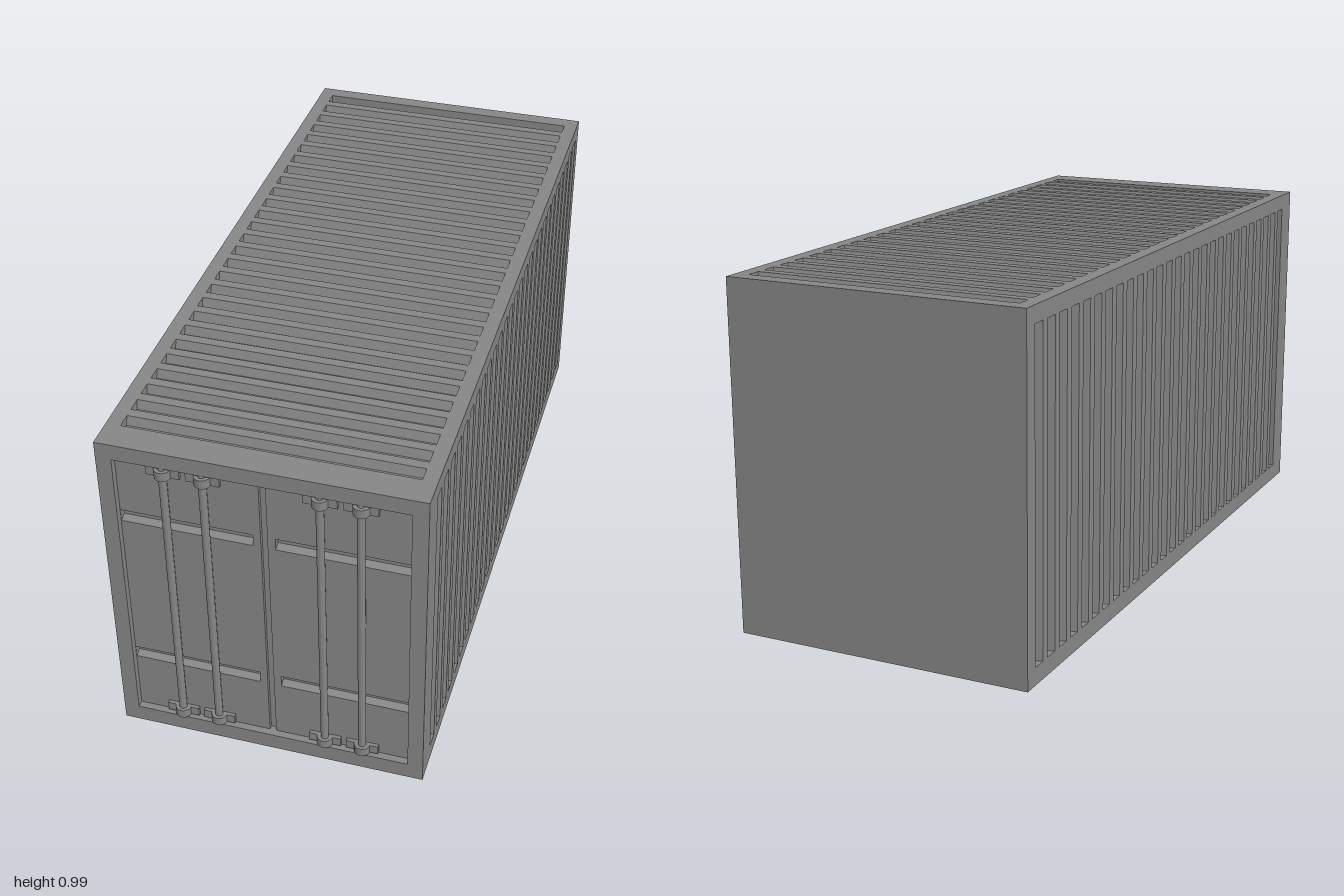
import * as THREE from 'three';
import { mergeGeometries } from 'three/addons/utils/BufferGeometryUtils.js';

const material = new THREE.MeshStandardMaterial({ color: 0x868686, side: THREE.DoubleSide, flatShading: true });
const HX = 0.433, H = 0.99, BACK = -1, FRONT = 0.99;
const DOOR_Z = 0.97, DOOR_X = 0.39, DOOR_Y0 = 0.05, DOOR_Y1 = 0.943;

const rectPoints = ([x0, y0, x1, y1]) => [[x0, y0], [x1, y0], [x1, y1], [x0, y1]].map(p => new THREE.Vector2(...p));

// Flat-shaded geometry from a list of four-cornered faces
function fromQuads(quads) {
  const out = quads.flatMap(([a, b, c, d]) => [a, b, c, a, c, d].flat());
  const g = new THREE.BufferGeometry();
  g.setAttribute('position', new THREE.Float32BufferAttribute(out, 3));
  g.computeVertexNormals();
  return g;
}

// Pressed pan: walls (optionally sloped by sy) leading to a floor at -depth
function pan([x0, y0, x1, y1], depth, sy = 0, floor = true) {
  const outer = rectPoints([x0, y0, x1, y1]).map(p => [p.x, p.y, 0]);
  const inner = rectPoints([x0, y0 + sy, x1, y1 - sy]).map(p => [p.x, p.y, -depth]);
  const quads = outer.map((p, i) => [p, outer[(i + 1) % 4], inner[(i + 1) % 4], inner[i]]);
  if (floor) quads.push(inner);
  return fromQuads(quads);
}

// Flat sheet in the XY plane with holes cut out
function sheet(rect, holes = []) {
  const shape = new THREE.Shape(rectPoints(rect));
  holes.forEach(h => shape.holes.push(new THREE.Path(rectPoints(h))));
  const g = new THREE.ShapeGeometry(shape).toNonIndexed();
  g.deleteAttribute('uv');
  return g;
}

// Corrugated panel: ridges along y, flush with z = 0, with grooves between them
function corrugation([x0, y0, x1, y1]) {
  const pitch = 0.07, groove = 0.043, slope = 0.009, depth = 0.025, count = 27;
  const profile = [[x0, 0]];
  for (let i = 0; i < count; i++) {
    const a = x0 + i * pitch, b = a + groove;
    if (i > 0) profile.push([a, 0]);
    profile.push([i > 0 ? a + slope : a, -depth]);
    profile.push([i < count - 1 ? b - slope : x1, -depth]);
    if (i < count - 1) profile.push([b, 0]);
  }
  profile.push([x1, 0]);
  const quads = [];
  for (let i = 0; i < profile.length - 1; i++) {
    const [xa, za] = profile[i], [xb, zb] = profile[i + 1];
    quads.push([[xa, y0, za], [xb, y0, zb], [xb, y1, zb], [xa, y1, za]]);
    // Walls closing both ends of the groove
    if (xa !== xb && za + zb < 0) {
      quads.push([[xa, y0, 0], [xb, y0, 0], [xb, y0, zb], [xa, y0, za]]);
      quads.push([[xa, y1, za], [xb, y1, zb], [xb, y1, 0], [xa, y1, 0]]);
    }
  }
  return fromQuads(quads);
}

const corrugatedSheet = (rect, area) => mergeGeometries([sheet(rect, [area]), corrugation(area)]);

export function createModel() {
  const model = new THREE.Group();
  model.name = 'shippingContainer';
  const add = (name, geometry, x = 0, y = 0, z = 0, parent = model) => {
    const mesh = new THREE.Mesh(geometry, material);
    mesh.name = name;
    mesh.position.set(x, y, z);
    parent.add(mesh);
    return mesh;
  };

  // Corrugated side walls and roof, pressed between these two z positions
  const Z0 = -0.955, Z1 = 0.908;
  add('leftWall', corrugatedSheet([-FRONT, 0, -BACK, H], [-Z1, 0.05, -Z0, 0.943]), HX).rotation.y = Math.PI / 2;
  add('rightWall', corrugatedSheet([BACK, 0, FRONT, H], [Z0, 0.05, Z1, 0.943]), -HX).rotation.y = -Math.PI / 2;
  const roof = corrugatedSheet([BACK, -HX, FRONT, HX], [Z0, -0.393, Z1, 0.393]);
  roof.rotateZ(-Math.PI / 2).rotateX(-Math.PI / 2);
  add('roof', roof, 0, H);

  // Plain back wall; the underside stays open
  add('backWall', sheet([-HX, 0, HX, H]), 0, 0, BACK).rotation.y = Math.PI;

  // Door frame with its recess
  const opening = [-DOOR_X, DOOR_Y0, DOOR_X, DOOR_Y1];
  add('doorFrame', mergeGeometries([
    sheet([-HX, 0, HX, H], [opening]),
    pan(opening, FRONT - DOOR_Z, 0, false),
  ]), 0, 0, FRONT);

  // Door leaves with two pressed grooves each, and the seam between them
  for (const s of [-1, 1]) {
    const span = (a, b) => (s > 0 ? [a, b] : [-b, -a]);
    const [x0, x1] = span(0.009, DOOR_X);
    const [g0, g1] = span(0.03, DOOR_X - 0.001);
    const grooves = [0.232, 0.726].map(y => [g0, y, g1, y + 0.036]);
    add(s > 0 ? 'leftDoor' : 'rightDoor', mergeGeometries([
      sheet([x0, DOOR_Y0, x1, DOOR_Y1], grooves),
      ...grooves.map(g => pan(g, 0.02, 0.008)),
    ]), 0, 0, DOOR_Z);
  }
  add('doorSeam', pan([-0.009, DOOR_Y0, 0.009, DOOR_Y1], 0.012), 0, 0, DOOR_Z);

  // Bracket profile: two flat flanges and a rounded hump over the bar
  const bracketShape = new THREE.Shape();
  bracketShape.moveTo(-0.045, 0).lineTo(0.045, 0).lineTo(0.045, 0.01).lineTo(0.022, 0.01);
  bracketShape.absarc(0, 0.008, 0.022, 0.09, Math.PI - 0.09, false);
  bracketShape.lineTo(-0.045, 0.01);
  const bracket = new THREE.ExtrudeGeometry(bracketShape, { depth: 0.027, bevelEnabled: false, curveSegments: 6 });
  bracket.rotateX(Math.PI / 2);

  // Locking bars, each held by a bracket at top and bottom
  const barLength = DOOR_Y1 - DOOR_Y0;
  const bar = new THREE.CylinderGeometry(0.011, 0.011, barLength, 12);
  for (const x of [-0.259, -0.153, 0.153, 0.259]) {
    const lock = new THREE.Group();
    lock.name = 'lockingBar';
    model.add(lock);
    add('bar', bar, x, DOOR_Y0 + barLength / 2, DOOR_Z + 0.01, lock);
    for (const top of [0.081, 0.936]) add('bracket', bracket, x, top, DOOR_Z, lock);
  }
  return model;
}
